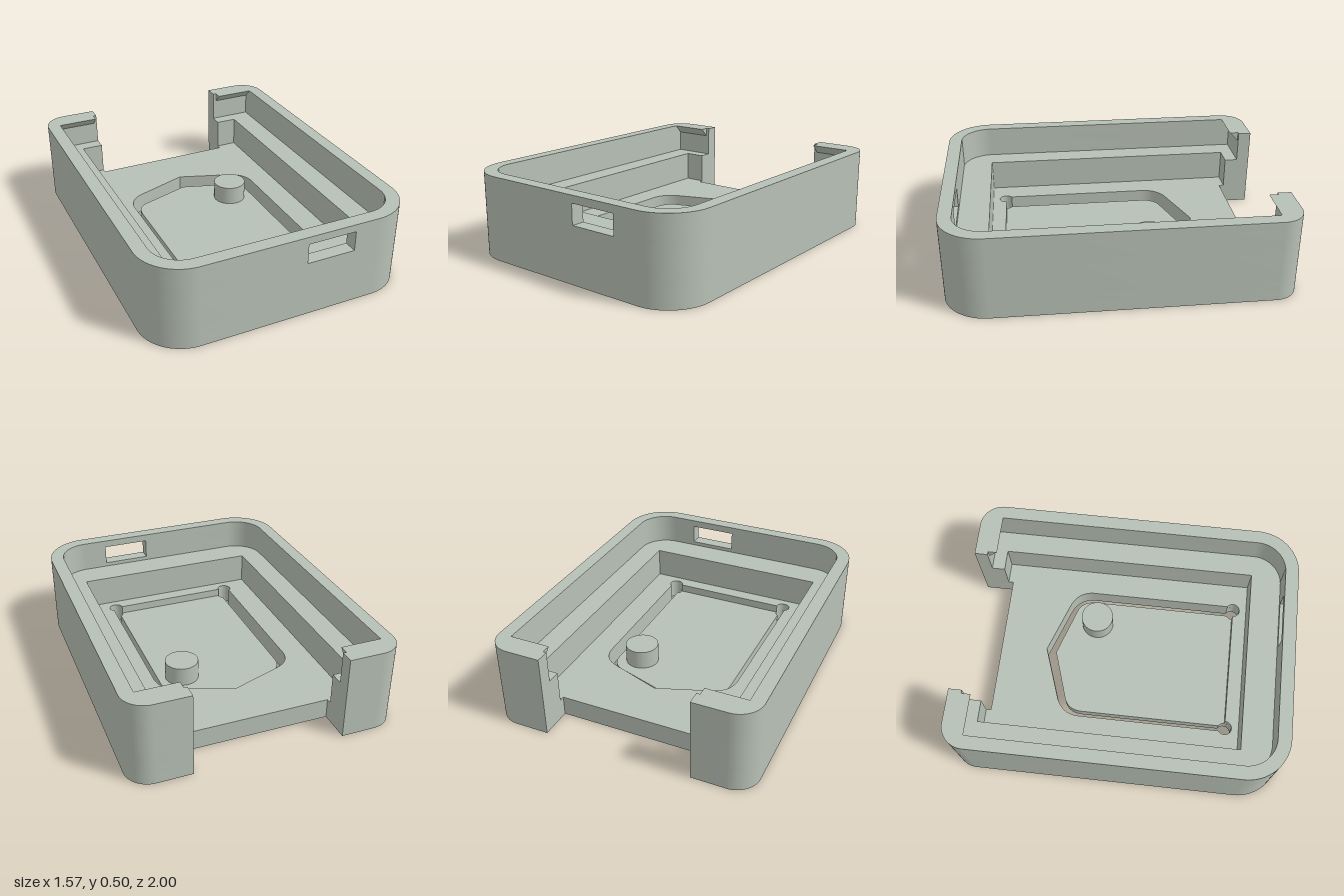
import * as THREE from 'three';
import { toCreasedNormals } from 'three/addons/utils/BufferGeometryUtils.js';

const FLOOR = 0.12, LEDGE = 0.31, TOP = 0.5, TONGUE = 0.07;
const WINDOW = { x0: 0.09, x1: 0.38, y0: 0.335, y1: 0.455 };
const NOTCH = 0.44; // half width of the opening in the back

const material = new THREE.MeshStandardMaterial({ color: 0xb7c0b5 });
material.name = 'sage grey plastic';

function addMesh(group, name, geometry) {
  const mesh = new THREE.Mesh(geometry, material);
  mesh.name = name;
  group.add(mesh);
  return mesh;
}

// Extrudes a plan shape (x, z) between two heights
function slab(shape, y0, y1) {
  const geo = new THREE.ExtrudeGeometry(shape, { depth: y1 - y0, bevelEnabled: false, curveSegments: 14 });
  geo.rotateX(Math.PI / 2).translate(0, y1, 0);
  return toCreasedNormals(geo, 0.45);
}

// Outer plan outline of one half, from the front edge to the back edge
function outerHalf(startX) {
  const p = new THREE.Path();
  p.moveTo(startX, 1);
  p.lineTo(0.525, 1);
  p.absarc(0.525, 0.74, 0.26, Math.PI / 2, 0, true);
  p.lineTo(0.785, -0.86);
  p.absarc(0.645, -0.86, 0.14, 0, -Math.PI / 2, true);
  p.lineTo(NOTCH, -1);
  return p.getPoints(14);
}

// Inner plan outline of one half, from the back notch to the front
function innerHalf(startX, lower) {
  const p = new THREE.Path();
  if (lower) {
    p.moveTo(NOTCH, -0.84);
    p.lineTo(0.57, -0.84);
    p.lineTo(0.57, 0.735);
    p.lineTo(startX, 0.735);
  } else {
    p.moveTo(NOTCH, -0.92);
    p.lineTo(0.705, -0.92);
    p.lineTo(0.705, 0.74);
    p.absarc(0.525, 0.74, 0.18, 0, Math.PI / 2, false);
    p.lineTo(startX, 0.92);
  }
  return p.getPoints(14);
}

const mirror = (pts) => pts.map((p) => new THREE.Vector2(-p.x, p.y)).reverse();

// One height band of the wall, made of a left and a right half
function wallBand(group, name, y0, y1, lower, gap0 = 0, gap1 = 0) {
  const left = [...outerHalf(gap1), ...innerHalf(gap1, lower)];
  const right = mirror([...outerHalf(-gap0), ...innerHalf(-gap0, lower)]);
  addMesh(group, name + 'Left', slab(new THREE.Shape(left), y0, y1));
  addMesh(group, name + 'Right', slab(new THREE.Shape(right), y0, y1));
}

// Arched slot around the spring tongue; the pocket version also spans the tongue
function slotOutline(pocket) {
  const p = new THREE.Path();
  p.moveTo(0, -0.52);
  p.lineTo(0.31, -0.41);
  p.quadraticCurveTo(0.42, -0.371, 0.42, -0.26);
  p.lineTo(0.42, 0.614);
  p.absarc(0.3975, 0.65, 0.042, -1.006, Math.PI + (pocket ? 0 : 1.006), false);
  if (!pocket) {
    p.lineTo(0.375, -0.25);
    p.quadraticCurveTo(0.375, -0.34, 0.3, -0.366);
    p.lineTo(0, -0.465);
  }
  const half = p.getPoints(14);
  const other = mirror(half);
  other.pop(); // shared peak point
  if (!pocket) other.shift();
  return new THREE.Path([...half, ...other]);
}

function floorShape(pocket) {
  const half = outerHalf(0);
  half.push(new THREE.Vector2(NOTCH, -0.81));
  const other = mirror(half);
  other.pop();
  const shape = new THREE.Shape([...half, ...other]);
  shape.holes.push(slotOutline(pocket));
  return shape;
}

export function createModel() {
  const model = new THREE.Group();
  model.name = 'enclosureTray';

  // Floor with the thinner spring tongue cut into it
  addMesh(model, 'floorAndTongue', slab(floorShape(false), 0, TONGUE));
  addMesh(model, 'floorUpper', slab(floorShape(true), TONGUE, FLOOR));

  // Button post on the tongue
  const post = addMesh(model, 'buttonPost', new THREE.CylinderGeometry(0.1, 0.1, 0.115, 40));
  post.position.set(0.23, TONGUE + 0.0575, -0.22);

  // Thick lower wall forms a ledge; thin upper wall carries the window
  wallBand(model, 'ledgeWall', FLOOR, LEDGE, true);
  wallBand(model, 'wallBelowWindow', LEDGE, WINDOW.y0, false);
  wallBand(model, 'wallBesideWindow', WINDOW.y0, WINDOW.y1, false, WINDOW.x0, WINDOW.x1);
  wallBand(model, 'wallAboveWindow', WINDOW.y1, TOP, false);

  // Snap hooks on the back wall, flat on top and sloped beneath
  const profile = new THREE.Shape([
    new THREE.Vector2(-0.92, TOP),
    new THREE.Vector2(-0.92, TOP - 0.055),
    new THREE.Vector2(-0.865, TOP),
  ]);
  for (const [name, endX] of [['hookLeft', 0.705], ['hookRight', -0.46]]) {
    const geo = new THREE.ExtrudeGeometry(profile, { depth: 0.245, bevelEnabled: false });
    geo.rotateY(-Math.PI / 2).translate(endX, 0, 0);
    addMesh(model, name, geo);
  }

  return model;
}
